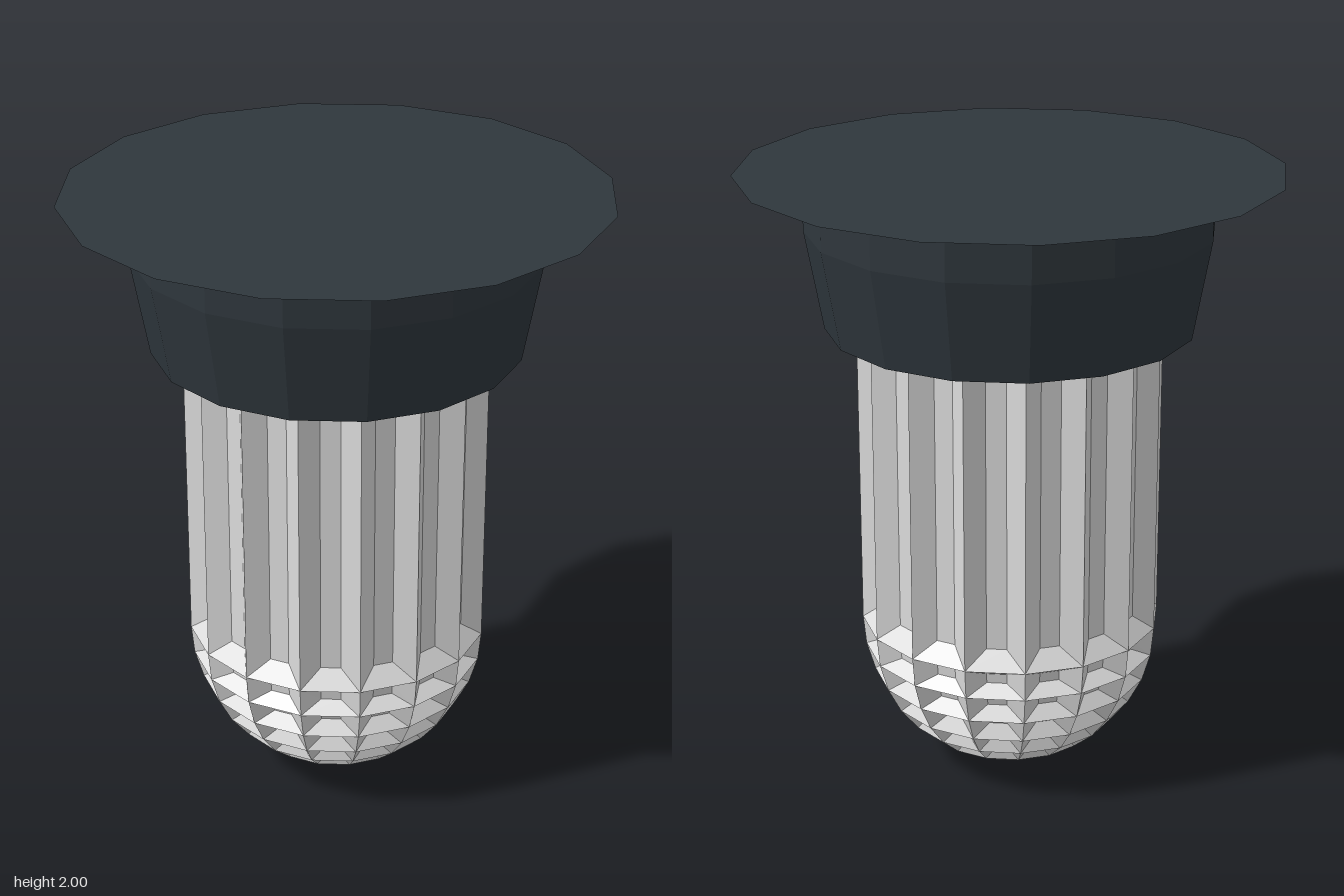
import * as THREE from 'three';

const SIDES = 16, STEP = (Math.PI * 2) / SIDES, ROWS = 8;
const RADIUS = 0.49, DEPTH = 0.057, INSET = 0.31, DOME_Y = 0.5;

const darkHousing = new THREE.MeshStandardMaterial({ color: 0x2f373d, flatShading: true });
darkHousing.name = 'dark housing';
const paleGlass = new THREE.MeshStandardMaterial({ color: 0xdcdcdc, flatShading: true });
paleGlass.name = 'pale glass';

const onTube = (r, a, y) => [r * Math.sin(a), y, r * Math.cos(a)];
const onDome = (depth, a, lat) => {
  const r = RADIUS - depth;
  return [r * Math.cos(lat) * Math.sin(a), DOME_Y - (r + 0.01) * Math.sin(lat), r * Math.cos(lat) * Math.cos(a)];
};

// Recessed panel: four outer corners, four inner corners, sloped walls between
function addPanel(out, outer, inner) {
  const quad = (a, b, c, d) => out.push(...a, ...b, ...c, ...a, ...c, ...d);
  quad(...inner);
  for (let i = 0; i < 4; i++) {
    const j = (i + 1) % 4;
    quad(outer[i], outer[j], inner[j], inner[i]);
  }
}

function panelMesh(name, positions) {
  const geometry = new THREE.BufferGeometry();
  geometry.setAttribute('position', new THREE.Float32BufferAttribute(positions, 3));
  geometry.computeVertexNormals();
  const mesh = new THREE.Mesh(geometry, paleGlass);
  mesh.name = name;
  return mesh;
}

export function createModel() {
  const group = new THREE.Group();
  group.name = 'ceilingLamp';

  // Housing: tapered collar flaring into the mounting plate
  const profile = [[0, 1.5], [0.59, 1.5], [0.648, 1.82], [0.648, 1.94], [0.865, 2], [0, 2]];
  const housing = new THREE.Mesh(
    new THREE.LatheGeometry(profile.map(([x, y]) => new THREE.Vector2(x, y)), SIDES), darkHousing);
  housing.name = 'housing';
  group.add(housing);

  const flutes = [], dome = [];
  const top = 1.52, floorR = RADIUS - DEPTH;
  for (let i = 0; i < SIDES; i++) {
    const a0 = i * STEP, a1 = a0 + STEP;
    const b0 = a0 + STEP * INSET, b1 = a1 - STEP * INSET;

    // Vertical flute in the glass tube
    addPanel(flutes,
      [onTube(RADIUS, a0, DOME_Y), onTube(RADIUS, a1, DOME_Y), onTube(RADIUS, a1, top), onTube(RADIUS, a0, top)],
      [onTube(floorR, b0, 0.56), onTube(floorR, b1, 0.56), onTube(floorR, b1, top), onTube(floorR, b0, top)]);

    // Recessed cells of the dome, shallower towards the pole
    for (let k = 0; k < ROWS; k++) {
      const h = Math.PI / 2 / ROWS;
      const t = k * h, b = t + h, ti = t + h * INSET, bi = b - h * INSET;
      const d = DEPTH * Math.cos(t + h / 2);
      addPanel(dome,
        [onDome(0, a0, b), onDome(0, a1, b), onDome(0, a1, t), onDome(0, a0, t)],
        [onDome(d, b0, bi), onDome(d, b1, bi), onDome(d, b1, ti), onDome(d, b0, ti)]);
    }
  }
  group.add(panelMesh('flutedGlass', flutes), panelMesh('glassDome', dome));
  return group;
}
